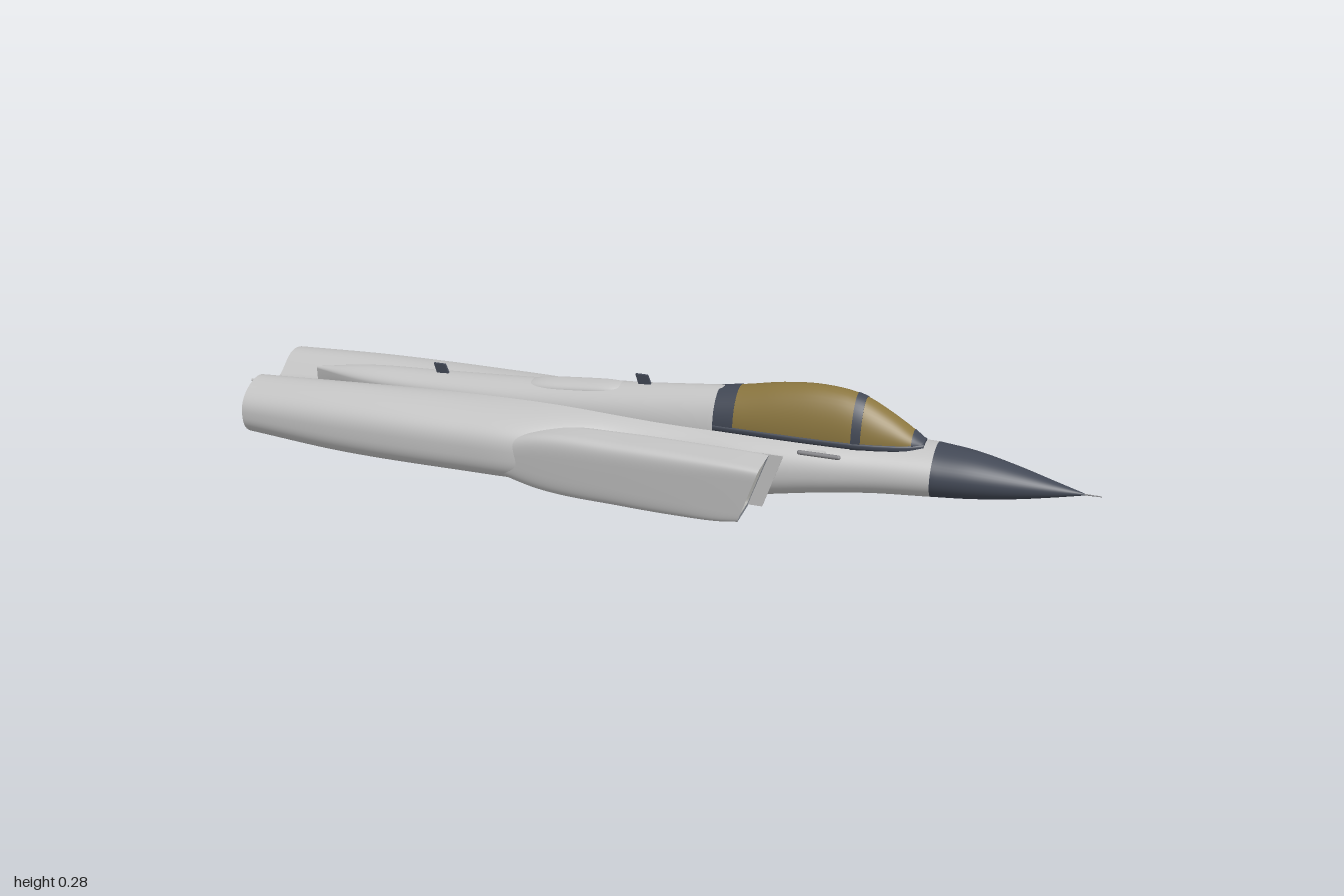
import * as THREE from 'three';

const mat = (name, color, side = THREE.FrontSide) => {
  const m = new THREE.MeshStandardMaterial({ color, side });
  m.name = name;
  return m;
};

// Skins a list of rings (each an array of [x, y, z]); caps get their own sharp vertices.
function skin(rings, capStart, capEnd) {
  const n = rings[0].length, pos = rings.flat(2), idx = [];
  for (let i = 0; i < rings.length - 1; i++) {
    for (let j = 0; j < n; j++) {
      const k = (j + 1) % n, a = i * n + j, b = a + n, c = i * n + k, d = c + n;
      idx.push(a, b, c, b, d, c);
    }
  }
  const cap = (ring, flip) => {
    const base = pos.length / 3;
    const mid = [0, 1, 2].map(q => ring.reduce((s, p) => s + p[q], 0) / n);
    pos.push(...mid, ...ring.flat());
    for (let j = 0; j < n; j++) {
      const a = base + 1 + j, b = base + 1 + (j + 1) % n;
      idx.push(base, ...(flip ? [b, a] : [a, b]));
    }
  };
  if (capStart) cap(rings[0], false);
  if (capEnd) cap(rings[rings.length - 1], true);
  const g = new THREE.BufferGeometry();
  g.setAttribute('position', new THREE.Float32BufferAttribute(pos, 3));
  g.setIndex(idx);
  g.computeVertexNormals();
  return g;
}

// Smooth resampling of station rows [x, ...values] between x0 and x1.
function resample(rows, steps, x0 = rows[0][0], x1 = rows[rows.length - 1][0]) {
  const size = rows[0].length - 1;
  const curve = new THREE.CubicInterpolant(rows.map(r => r[0]), rows.flatMap(r => r.slice(1)), size, new Array(size));
  return Array.from({ length: steps + 1 }, (_, i) => {
    const x = x0 + (x1 - x0) * i / steps;
    return [x, ...curve.evaluate(x)];
  });
}

// Unit superellipse as [z, y] pairs, running from +z towards +y.
function unitRing(n, count) {
  const p = v => Math.sign(v) * Math.pow(Math.abs(v), 2 / n);
  return Array.from({ length: count }, (_, j) => {
    const t = j / count * Math.PI * 2;
    return [p(Math.cos(t)), p(Math.sin(t))];
  });
}

// Oval ring with separate upper and lower heights about yc.
const oval = (x, w, yc, up, down, n = 2, count = 48) =>
  unitRing(n, count).map(([z, y]) => [x, yc + y * (y > 0 ? up : down), z * w]);

// Fuselage ring with valleys between the twin engine lobes.
function bodyRing([x, w, yb, yt, n, topDip, lowDip]) {
  const yc = (yb + yt) / 2, h = (yt - yb) / 2;
  return unitRing(n, 112).map(([u, v]) => {
    const z = u * w, dip = Math.exp(-((z / 0.055) ** 2));
    return [x, yc + v * h - dip * (v > 0 ? topDip : -lowDip) * Math.abs(v), z];
  });
}

// Rounded intake ring with raked face; side is +1 or -1.
function intakeRing(side, [x, zi, zo, yb, yt, rake, n]) {
  const zc = side * (zi + zo) / 2, yc = (yb + yt) / 2;
  return unitRing(n, 64).map(([u, v]) => {
    const y = yc + v * (yt - yb) / 2;
    return [x + rake * (y - 0.09), y, (zc + u * (zo - zi) / 2) * (1 + 0.3 * (y - 0.09))];
  });
}

export function createModel() {
  const root = new THREE.Group();
  root.name = 'jetFuselage';
  const grey = mat('light grey skin', 0xc6c6c6);
  const dark = mat('dark slate', 0x434956);
  const glass = mat('amber glass', 0x8c7740);
  const lipMat = mat('intake lip grey', 0x8d929b);
  const ductMat = mat('duct grey', 0xb4b4b0);
  const metal = mat('fan metal', 0x86868a);
  const add = (name, geo, material, parent = root) => {
    const m = new THREE.Mesh(geo, material);
    m.name = name;
    parent.add(m);
    return m;
  };

  // Main fuselage: x, half width, bottom, top, squareness, top valley, bottom valley
  const body = [
    [-0.93, 0.17, 0.018, 0.17, 2.5, 0.05, 0.045],
    [-0.7, 0.178, 0.004, 0.177, 2.7, 0.035, 0.03],
    [-0.4, 0.179, 0.003, 0.178, 2.8, 0.01, 0.015],
    [-0.22, 0.17, 0.003, 0.178, 2.8, 0, 0.01],
    [-0.05, 0.118, 0.003, 0.178, 2.7, 0, 0.004],
    [0.1, 0.106, 0.004, 0.178, 2.5, 0, 0],
    [0.25, 0.108, 0.018, 0.179, 2.3, 0, 0],
    [0.4, 0.096, 0.043, 0.18, 2.2, 0, 0],
    [0.52, 0.083, 0.058, 0.18, 2.1, 0, 0],
    [0.65, 0.074, 0.067, 0.18, 2, 0, 0]
  ];
  add('fuselage', skin(resample(body, 70).map(bodyRing), true, true), grey);

  // Dorsal spine: x, half width, top
  const spine = [[-0.82, 0.003, 0.165], [-0.7, 0.034, 0.181], [-0.5, 0.048, 0.192],
    [-0.25, 0.056, 0.208], [0, 0.06, 0.232], [0.18, 0.06, 0.252]];
  add('spine', skin(resample(spine, 36).map(([x, w, t]) => oval(x, w, 0.16, t - 0.16, 0.05)), true, true), grey);

  // Low fairing on top of the spine
  const hump = Array.from({ length: 17 }, (_, i) => {
    const u = i / 8 - 1, s = Math.pow(Math.max(1 - u ** 4, 0.0001), 0.5), x = -0.165 + 0.135 * u;
    return oval(x, 0.032 * s, 0.202 + (x + 0.165) * 0.09, 0.018 * s, 0.015, 2.4, 32);
  });
  add('spineFairing', skin(hump, true, true), grey);

  // Radome and pitot probe
  const radome = [[0.65, 0.074, 0.18, 0.067], [0.73, 0.063, 0.172, 0.073], [0.82, 0.043, 0.153, 0.084],
    [0.9, 0.021, 0.132, 0.098], [0.965, 0.002, 0.115, 0.111]];
  add('radome', skin(resample(radome, 24).map(([x, w, t, b]) =>
    oval(x, w, (t + b) / 2, (t - b) / 2, (t - b) / 2)), true, true), dark);
  const pitot = add('pitot', new THREE.CylinderGeometry(0.001, 0.002, 0.045, 8), metal);
  pitot.rotation.z = -Math.PI / 2;
  pitot.position.set(0.9775, 0.113, 0);

  // Canopy split into glass panes and frames: x, half width, top
  const canopy = [[0.17, 0.06, 0.249], [0.23, 0.061, 0.26], [0.31, 0.062, 0.276], [0.4, 0.061, 0.283],
    [0.485, 0.057, 0.271], [0.55, 0.046, 0.238], [0.6, 0.032, 0.205], [0.625, 0.018, 0.186]];
  const bands = [['rearFrame', 0.17, 0.215, dark], ['canopyGlass', 0.215, 0.475, glass],
    ['canopyBow', 0.475, 0.495, dark], ['windscreenGlass', 0.495, 0.6, glass], ['frontFrame', 0.6, 0.625, dark]];
  for (const [name, x0, x1, material] of bands) {
    const grow = material === dark ? 0.0012 : 0;
    add(name, skin(resample(canopy, 14, x0, x1).map(([x, w, t]) =>
      oval(x, w + grow, 0.18, t + grow - 0.18, 0.04)), true, true), material);
  }
  add('canopySill', skin(resample(canopy, 30).map(([x, w]) =>
    oval(x, w + 0.003, 0.178, 0.009, 0.016, 3)), true, true), dark);

  // Intakes: x, inner z, outer z, bottom, top, rake, squareness
  const shell = [
    [-0.34, 0.1, 0.166, 0.045, 0.11, 0, 3],
    [-0.2, 0.09, 0.178, 0.012, 0.15, 0, 4],
    [0, 0.09, 0.19, 0.008, 0.16, 0, 5],
    [0.15, 0.098, 0.197, 0.011, 0.162, 0.15, 6],
    [0.25, 0.104, 0.201, 0.018, 0.161, 0.3, 8],
    [0.29, 0.106, 0.202, 0.025, 0.159, 0.35, 9]
  ];
  const front = shell[5], throat = [0.288, 0.117, 0.192, 0.036, 0.148, 0.35, 9];
  const duct = [throat, [0.2, 0.117, 0.19, 0.036, 0.148, 0.2, 7],
    [0.1, 0.117, 0.187, 0.042, 0.142, 0, 4], [0.03, 0.121, 0.185, 0.056, 0.124, 0, 2]];
  for (const side of [1, -1]) {
    const intake = new THREE.Group();
    intake.name = side > 0 ? 'leftIntake' : 'rightIntake';
    root.add(intake);
    const ring = row => intakeRing(side, row);
    add('intakeShell', skin(resample(shell, 32).map(ring), true, false), grey, intake);
    add('intakeLip', skin([front, throat].map(ring), false, false), lipMat, intake);
    add('intakeDuct', skin(duct.map(ring), false, true), ductMat, intake);

    // Compressor face
    const fan = new THREE.Group();
    fan.name = 'fan';
    fan.position.set(0.04, 0.09, side * 0.153);
    intake.add(fan);
    for (let i = 0; i < 16; i++) {
      const arm = new THREE.Group();
      arm.name = 'bladeArm';
      arm.rotation.x = i / 16 * Math.PI * 2;
      fan.add(arm);
      const blade = add('blade', new THREE.BoxGeometry(0.002, 0.02, 0.005), metal, arm);
      blade.position.y = 0.018;
      blade.rotation.y = 0.4;
    }
    const hub = add('hub', new THREE.ConeGeometry(0.008, 0.02, 20), metal, fan);
    hub.rotation.z = -Math.PI / 2;

    // Splitter plate ahead of the inner intake wall
    const plate = new THREE.Shape([[0.24, 0.03], [0.3, 0.03], [0.343, 0.156], [0.28, 0.156]]
      .map(p => new THREE.Vector2(...p)));
    add('splitterPlate', new THREE.ExtrudeGeometry(plate, { depth: 0.004, bevelEnabled: false }), grey, intake)
      .position.z = side * 0.109 - 0.002;
  }

  // Blade antennas along the spine
  const fin = new THREE.Shape([[-0.016, 0.018], [0.012, 0.018], [0.022, -0.008], [-0.008, -0.008]]
    .map(p => new THREE.Vector2(...p)));
  for (const [x, y] of [[-0.5, 0.196], [-0.01, 0.235]]) {
    add('bladeAntenna', new THREE.ExtrudeGeometry(fin, { depth: 0.006, bevelEnabled: false }), dark)
      .position.set(x, y, -0.003);
  }

  // Side sensor probe on a short pylon
  const probe = add('sideProbe', new THREE.CapsuleGeometry(0.005, 0.085, 6, 12), metal);
  probe.rotation.z = Math.PI / 2;
  probe.position.set(0.415, 0.161, 0.09);
  add('probePylon', new THREE.BoxGeometry(0.04, 0.004, 0.025), grey).position.set(0.405, 0.16, 0.078);

  // Tail boom between the engines
  const path = new THREE.CatmullRomCurve3([[-0.9, 0.125, 0], [-0.94, 0.12, 0], [-0.965, 0.109, 0], [-1, 0.105, 0]]
    .map(p => new THREE.Vector3(...p)));
  add('tailProbe', new THREE.TubeGeometry(path, 16, 0.004, 8), grey);
  return root;
}
